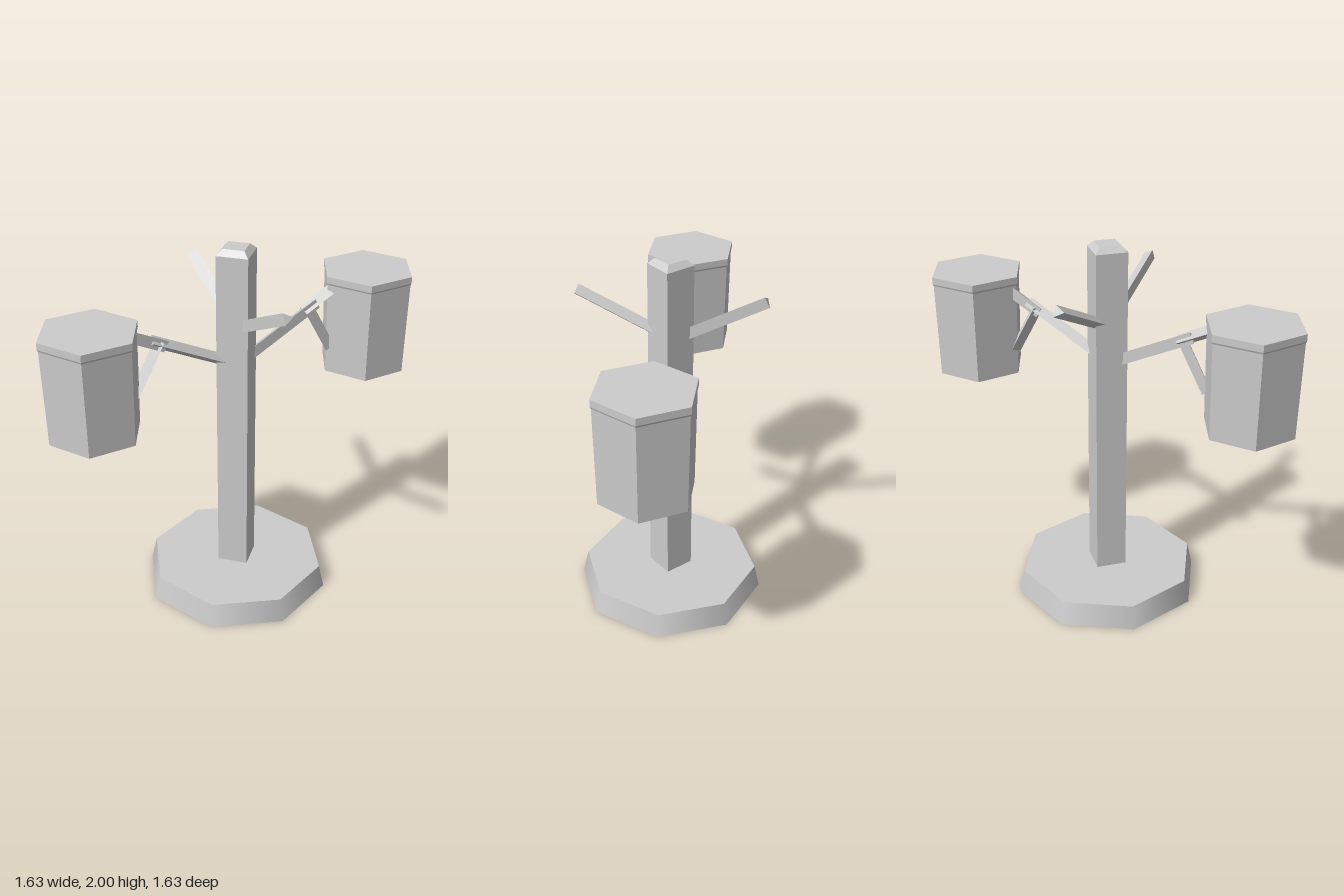
import * as THREE from 'three';

const grey = new THREE.MeshStandardMaterial({ color: 0xcccccc });
grey.name = 'plain grey';

function add(parent, name, geometry, x = 0, y = 0, z = 0) {
  const mesh = new THREE.Mesh(geometry, grey);
  mesh.name = name;
  mesh.position.set(x, y, z);
  parent.add(mesh);
  return mesh;
}

// Gives every face its own flat normal
function faceted(geometry) {
  const flat = geometry.toNonIndexed();
  flat.computeVertexNormals();
  return flat;
}

// Three-sided beam between two points (distance, height); roll turns its ridge sideways
function beam(parent, name, [r0, y0], [r1, y1], radius, roll) {
  const length = Math.hypot(r1 - r0, y1 - y0);
  const geometry = faceted(new THREE.CylinderGeometry(radius, radius, length, 3, 1, false, roll));
  const mesh = add(parent, name, geometry, (r0 + r1) / 2, (y0 + y1) / 2);
  mesh.rotation.z = Math.atan2(y1 - y0, r1 - r0) - Math.PI / 2;
}

export function createModel() {
  const model = new THREE.Group();
  model.name = 'lampPost';

  // Octagonal foot with softly shaded sides
  add(model, 'base', new THREE.CylinderGeometry(0.487, 0.517, 0.13, 8), 0, 0.065, 0);

  // Square post with a bevelled top
  add(model, 'post', new THREE.BoxGeometry(0.166, 1.87, 0.166), 0, 1.035, 0);
  const cap = new THREE.CylinderGeometry(0.055 * Math.SQRT2, 0.083 * Math.SQRT2, 0.03, 4, 1, false, Math.PI / 4);
  add(model, 'postCap', faceted(cap), 0, 1.985, 0);

  // Hexagonal lantern profile: vertical rim, then a slight taper
  const profile = [[0, 1.17], [0.243, 1.17], [0.252, 1.68], [0.257, 1.69], [0.257, 1.727], [0, 1.727]]
    .map(([r, y]) => new THREE.Vector2(r, y));
  const lanternGeometry = faceted(new THREE.LatheGeometry(profile, 6, Math.PI / 2));

  // Four arms on the diagonals: two bare upper ones, two lower ones with lanterns
  for (let i = 0; i < 4; i++) {
    const hasLantern = i % 2 === 1;
    const branch = new THREE.Group();
    branch.name = hasLantern ? 'lanternBranch' : 'bareBranch';
    branch.rotation.y = -Math.PI / 4 - i * Math.PI / 2;
    model.add(branch);

    const y = hasLantern ? 1.353 : 1.561;
    const heightAt = (r) => y + 0.503 * r;
    beam(branch, 'arm', [0.03, heightAt(0.03)], [0.482, heightAt(0.482)], 0.035, Math.PI);
    if (hasLantern) {
      beam(branch, 'armExtension', [0.405, heightAt(0.405)], [0.6, heightAt(0.6)], 0.035, 0);
      beam(branch, 'brace', [0.425, 1.585], [0.575, 1.315], 0.033, Math.PI);
      add(branch, 'lantern', lanternGeometry, 0.803, 0, 0);
    }
  }
  return model;
}
